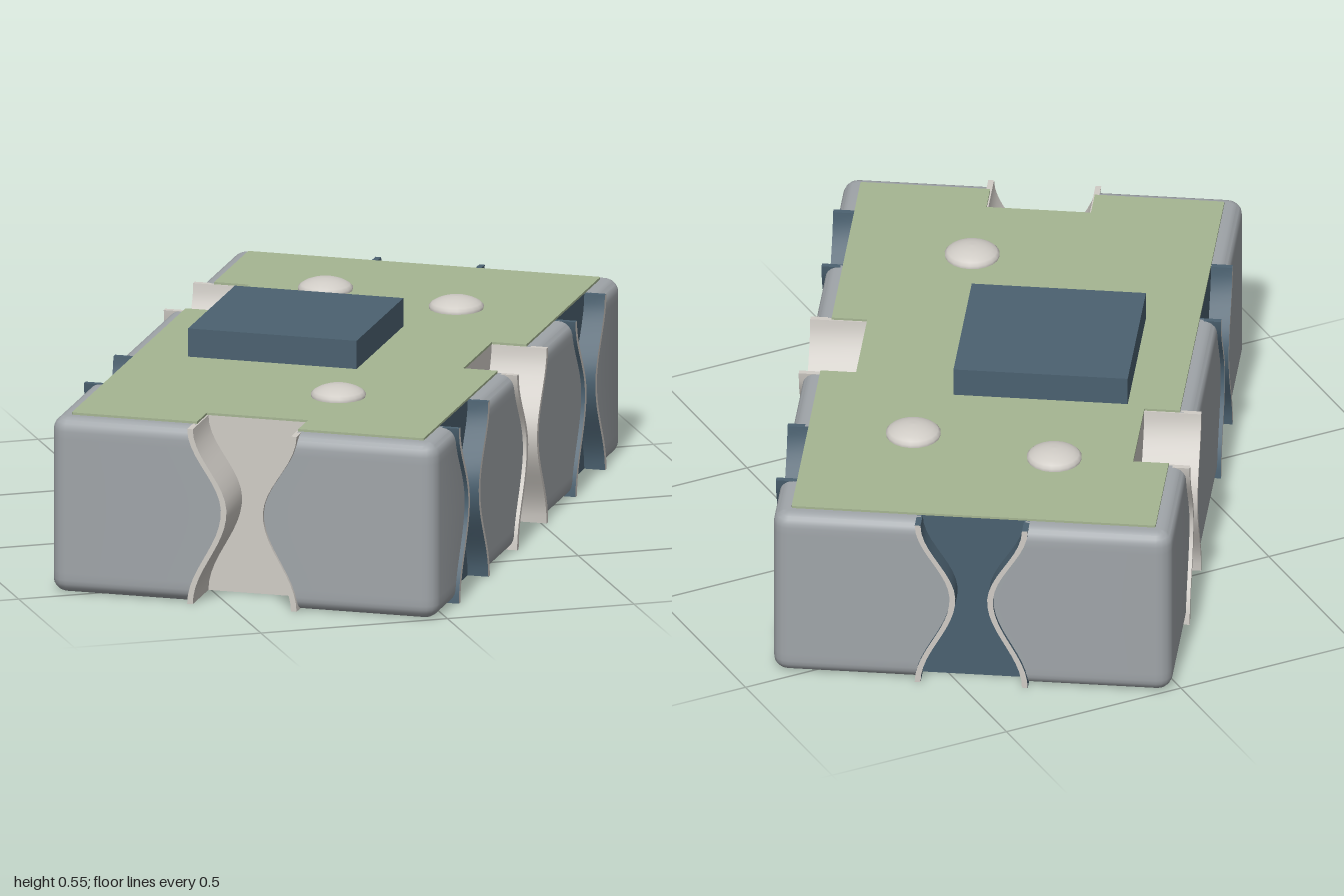
import * as THREE from 'three';
import { toCreasedNormals } from 'three/addons/utils/BufferGeometryUtils.js';

const W = 1.03, L = 1.75, H = 0.465;      // body width, length, height
const R = 0.04, EDGE = 0.035;             // upright corner and rim rounding
const DEEP = 0.137, SHALLOW = 0.045;      // channel depths
const TOP = H + 0.006;                    // upper face of the board

const paint = (name, color) => {
  const m = new THREE.MeshStandardMaterial({ color });
  m.name = name;
  return m;
};

// Each side: facing angle, half length, distance from centre, channels [position, depth]
const sides = [
  { name: 'front', a: 0, half: W / 2, d: L / 2, cuts: [[0, DEEP]] },
  { name: 'left', a: Math.PI / 2, half: L / 2, d: W / 2, cuts: [[-0.548, SHALLOW], [0, DEEP], [0.548, SHALLOW]] },
  { name: 'back', a: Math.PI, half: W / 2, d: L / 2, cuts: [[0, SHALLOW]] },
  { name: 'right', a: -Math.PI / 2, half: L / 2, d: W / 2, cuts: [[-0.375, DEEP], [0.375, SHALLOW]] },
];

// Hourglass half width of a channel at height y
function halfWidth(y) {
  const waist = 0.25;
  const t = y < waist ? y / waist : (H - y) / (H - waist);
  return 0.045 + 0.045 * (1 + Math.cos(Math.PI * t));
}

// Horizontal outline, counterclockwise from above; kind marks the channel floor that follows a point
function outline(h, inset, minDepth, radius) {
  const pts = [], kinds = [];
  for (const { a, half, d, cuts } of sides) {
    const add = (t, n, kind = 0) => {
      pts.push(new THREE.Vector2(t * Math.cos(a) + n * Math.sin(a), t * Math.sin(a) - n * Math.cos(a)));
      kinds.push(kind);
    };
    for (const [c, depth] of cuts) {
      if (depth < minDepth) continue;
      add(c - h, d - inset);
      add(c - h, d - depth, depth === DEEP ? 1 : 2);
      add(c + h, d - depth);
      add(c + h, d - inset);
    }
    for (let i = 0; i <= 4; i++) {
      const q = (i / 4) * Math.PI / 2, rad = radius - inset;
      add(half - radius + rad * Math.sin(q), d - radius + rad * Math.cos(q));
    }
  }
  return { pts, kinds };
}

// Body lofted through outlines that narrow at the rims
function bodyGeometry() {
  const levels = [];
  for (let i = 0; i < 5; i++) levels.push(EDGE * (1 - Math.cos((i / 5) * Math.PI / 2)));
  for (let i = 0; i <= 20; i++) levels.push(EDGE + (H - 2 * EDGE) * i / 20);
  for (let i = 4; i >= 0; i--) levels.push(H - levels[i]);

  const pos = [], faces = [[], [], []];
  let ring;
  for (const y of levels) {
    const k = Math.max(EDGE - y, y - (H - EDGE), 0);
    ring = outline(halfWidth(y), EDGE - Math.sqrt(Math.max(0, EDGE * EDGE - k * k)), 0, R);
    for (const p of ring.pts) pos.push(p.x, y, -p.y);
  }
  const n = ring.pts.length, last = (levels.length - 1) * n;
  for (let j = 0; j < levels.length - 1; j++) {
    for (let i = 0; i < n; i++) {
      const a = j * n + i, b = j * n + (i + 1) % n;
      faces[ring.kinds[i]].push(a, b, b + n, a, b + n, a + n);
    }
  }
  // top and bottom
  for (const [a, b, c] of THREE.ShapeUtils.triangulateShape(ring.pts, [])) {
    faces[0].push(last + a, last + b, last + c, a, c, b);
  }
  const g = new THREE.BufferGeometry();
  g.setAttribute('position', new THREE.Float32BufferAttribute(pos, 3));
  g.setIndex(faces.flat());
  let start = 0;
  faces.forEach((f, i) => { g.addGroup(start, f.length, i); start += f.length; });
  return toCreasedNormals(g, 0.6);
}

// Thin liner following one flank of a channel, s = -1 or 1
function linerGeometry(s, depth) {
  const inner = [], outer = [];
  for (let i = 0; i <= 20; i++) {
    const y = H * i / 20, h = halfWidth(y);
    inner.push(new THREE.Vector2(s * (h - 0.004), y));
    outer.push(new THREE.Vector2(s * (h + 0.011), y));
  }
  const shape = new THREE.Shape([...inner, ...outer.reverse()]);
  return toCreasedNormals(new THREE.ExtrudeGeometry(shape, { depth: depth + 0.01, bevelEnabled: false }), 0.6);
}

export function createModel() {
  const grey = paint('casing grey', 0xa0a5a9);
  const green = paint('board green', 0xa5b592);
  const blue = paint('slate blue', 0x4b6170);
  const steel = paint('pale metal', 0xd0ccc6);

  const model = new THREE.Group();
  model.name = 'module';
  const turned = new THREE.Group();
  turned.name = 'turnedModule';
  turned.rotation.y = -0.567;
  model.add(turned);

  const add = (name, geometry, material, x = 0, y = 0, z = 0, parent = turned) => {
    const mesh = new THREE.Mesh(geometry, material);
    mesh.name = name;
    mesh.position.set(x, y, z);
    parent.add(mesh);
    return mesh;
  };

  add('body', bodyGeometry(), [grey, steel, blue]);

  // board on top, cut only by the deep channels
  const board = new THREE.Shape(outline(halfWidth(H), 0.045, 0.1, 0.05).pts);
  const boardGeometry = new THREE.ExtrudeGeometry(board, { depth: TOP - H, bevelEnabled: false });
  add('board', boardGeometry.rotateX(-Math.PI / 2), green, 0, H, 0);

  // channel liners with a pale outer lip
  for (const { name, a, d, cuts } of sides) {
    const side = new THREE.Group();
    side.name = name + 'Channels';
    side.rotation.y = a;
    turned.add(side);
    for (const [c, depth] of cuts) {
      for (const s of [-1, 1]) {
        add('channelLiner', linerGeometry(s, depth), [steel, depth === DEEP ? steel : blue], c, 0, d - depth, side);
      }
    }
  }

  // square block
  add('block', new THREE.BoxGeometry(0.45, 0.076, 0.44), blue, -0.108, TOP + 0.037, -0.002);

  // low domed studs
  const profile = [[0.07, 0], [0.071, 0.009], [0.064, 0.016], [0.052, 0.023], [0.035, 0.029], [0.018, 0.032], [0, 0.033]]
    .map(([r, y]) => new THREE.Vector2(r, y));
  const dome = new THREE.LatheGeometry(profile, 20);
  for (const [x, z] of [[-0.175, -0.517], [0.198, -0.434], [0.145, 0.488]]) add('stud', dome, steel, x, TOP - 0.001, z);

  return model;
}
